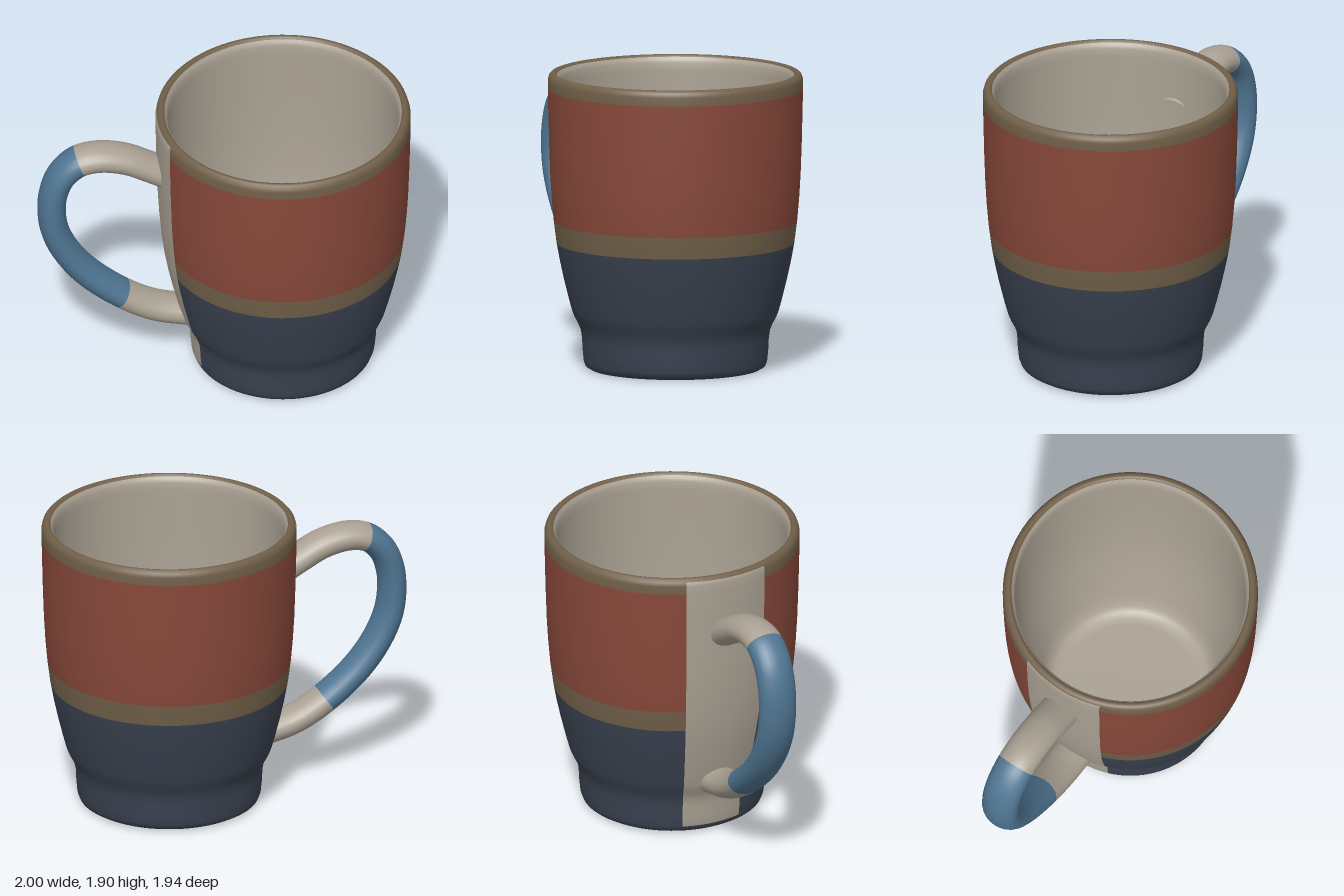
import * as THREE from 'three';

function material(name, color) {
  const m = new THREE.MeshStandardMaterial({ color });
  m.name = name;
  return m;
}

export function createModel() {
  const beige = material('beige glaze', 0xaaa193);
  const red = material('brick red', 0x88483a);
  const navy = material('dark navy', 0x3a4250);
  const brown = material('olive brown', 0x716049);
  const blue = material('steel blue', 0x4f7592);
  const palette = [beige, red, navy, brown, blue];

  // Wall section: underside, outside, over the lip, down the inside to the floor
  const outer = [
    [0, 0], [0.5, 0], [0.545, 0.004], [0.572, 0.02], [0.583, 0.05], [0.59, 0.12],
    [0.594, 0.2], [0.602, 0.25], [0.618, 0.29], [0.642, 0.335], [0.656, 0.37],
    [0.678, 0.45], [0.71, 0.58], [0.736, 0.7], [0.756, 0.81], [0.774, 0.95],
    [0.787, 1.1], [0.796, 1.25], [0.803, 1.45], [0.808, 1.65], [0.811, 1.8],
    [0.811, 1.855], [0.804, 1.88], [0.79, 1.895], [0.775, 1.9], [0.762, 1.896], [0.755, 1.885],
  ];
  const inner = [
    [0.745, 1.87], [0.735, 1.85], [0.732, 1.8], [0.728, 1.5], [0.718, 1.2], [0.7, 0.95],
    [0.678, 0.78], [0.645, 0.58], [0.605, 0.4], [0.575, 0.27], [0.555, 0.2],
    [0.53, 0.145], [0.5, 0.115], [0.46, 0.102], [0.42, 0.1], [0, 0.1],
  ];
  const profile = [...outer, ...inner].map(([r, y]) => new THREE.Vector2(r, y));
  const lastOuter = outer.length - 1;

  // Colour index for each row of the wall
  const bodyColour = (j, y) =>
    j >= lastOuter ? 0 : y < 0.81 ? 2 : y < 0.95 ? 3 : y < 1.8 ? 1 : 3;
  const stripColour = (j, y) =>
    j >= lastOuter ? 0 : y < 0.05 ? 2 : y < 1.88 ? 0 : 3;

  // Partial lathe whose rows are sorted into material groups
  function wallSector(name, start, length, segments, colourOf) {
    const geo = new THREE.LatheGeometry(profile, segments, start, length);
    const old = geo.index.array;
    const rows = profile.length - 1;
    const sorted = [];
    for (let j = 0; j < rows; j++) {
      const from = sorted.length;
      for (let i = 0; i < segments; i++) {
        const k = (i * rows + j) * 6;
        for (let n = 0; n < 6; n++) sorted.push(old[k + n]);
      }
      const midY = (profile[j].y + profile[j + 1].y) / 2;
      geo.addGroup(from, sorted.length - from, colourOf(j, midY));
    }
    geo.setIndex(sorted);
    const mesh = new THREE.Mesh(geo, palette);
    mesh.name = name;
    return mesh;
  }

  const mug = new THREE.Group();
  mug.name = 'mug';
  mug.position.set(0.187, 0, -0.161);

  // Banded wall, with a plain strip behind the handle
  const deg = Math.PI / 180;
  mug.add(wallSector('bandedBody', -26.8 * deg, 320 * deg, 88, bodyColour));
  mug.add(wallSector('handleStrip', -66.8 * deg, 40 * deg, 11, stripColour));

  // Handle: oval tube swept along a planar loop, blue in the middle
  const path = new THREE.CatmullRomCurve3([
    [0.755, 1.475], [0.86, 1.535], [1.02, 1.615], [1.19, 1.647], [1.32, 1.62],
    [1.42, 1.525], [1.472, 1.39], [1.484, 1.24], [1.46, 1.08], [1.385, 0.91],
    [1.25, 0.73], [1.02, 0.535], [0.82, 0.425], [0.61, 0.37],
  ].map(([s, y]) => new THREE.Vector3(s, y, 0)), false, 'centripetal');
  const steps = 112, sides = 24, thick = 0.09, wide = 0.125;
  const tube = new THREE.TubeGeometry(path, steps, thick, sides, false);
  tube.scale(1, 1, wide / thick);
  let first = 0, last = steps;
  while (path.getPointAt(first / steps).x < 1.305) first++;
  while (path.getPointAt(last / steps).x < 1.02) last--;
  const stride = sides * 6;
  tube.addGroup(0, first * stride, 0);
  tube.addGroup(first * stride, (last - first) * stride, 4);
  tube.addGroup(last * stride, (steps - last) * stride, 0);

  const handle = new THREE.Group();
  handle.name = 'handle';
  handle.rotation.y = Math.atan2(-0.688, -0.726);
  const loop = new THREE.Mesh(tube, palette);
  loop.name = 'handleLoop';
  handle.add(loop);

  // Cap on the lower end, which just reaches through the wall
  const cap = new THREE.Mesh(new THREE.CircleGeometry(thick, sides), beige);
  cap.name = 'handleEnd';
  const tangent = path.getTangentAt(1);
  cap.geometry.scale(wide / thick, 1, 1);
  cap.geometry.rotateY(-Math.PI / 2);
  cap.geometry.rotateZ(Math.atan2(tangent.y, tangent.x) - Math.PI);
  cap.position.copy(path.getPointAt(1));
  handle.add(cap);
  mug.add(handle);

  const model = new THREE.Group();
  model.name = 'model';
  model.add(mug);
  return model;
}
